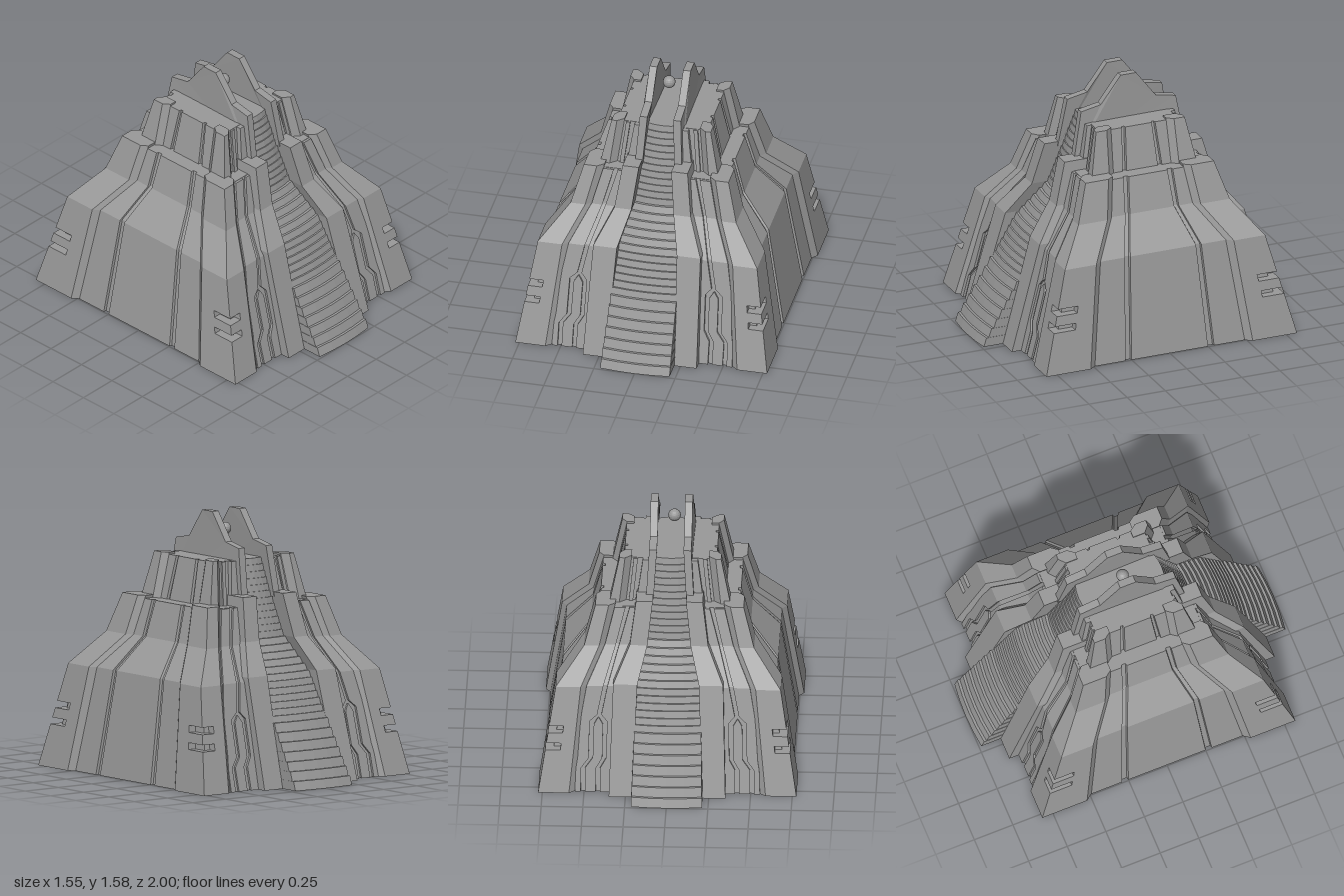
import * as THREE from 'three';

const stone = new THREE.MeshStandardMaterial({ color: 0x999999, flatShading: true });

// Interpolate every column of a table whose first column is the height.
function at(rows, y) {
  let i = 0;
  while (i < rows.length - 2 && y > rows[i + 1][0]) i++;
  const a = rows[i], b = rows[i + 1], t = (y - a[0]) / (b[0] - a[0]);
  return a.map((v, k) => v + (b[k] - v) * t);
}

// Skin stacked rings of [x, y, z] (running from +x to +z) and cap both ends.
function skin(rings) {
  const pos = [], n = rings[0].length;
  const tri = (...p) => p.forEach((q) => pos.push(...q));
  for (let i = 0; i < rings.length - 1; i++) {
    for (let j = 0; j < n; j++) {
      const k = (j + 1) % n;
      const a = rings[i][j], b = rings[i][k], c = rings[i + 1][k], d = rings[i + 1][j];
      tri(a, d, c);
      tri(a, c, b);
    }
  }
  [[rings[0], 1], [rings[rings.length - 1], -1]].forEach(([ring, dir]) => {
    const flat = ring.map((p) => new THREE.Vector2(p[0], p[2]));
    THREE.ShapeUtils.triangulateShape(flat, []).forEach(([a, b, c]) => {
      const area = THREE.ShapeUtils.area([flat[a], flat[b], flat[c]]);
      if (area * dir > 0) tri(ring[a], ring[b], ring[c]);
      else tri(ring[a], ring[c], ring[b]);
    });
  });
  const g = new THREE.BufferGeometry();
  g.setAttribute('position', new THREE.Float32BufferAttribute(pos, 3));
  g.computeVertexNormals();
  return g;
}

function add(group, name, geometry) {
  const mesh = new THREE.Mesh(geometry, stone);
  mesh.name = name;
  group.add(mesh);
  return mesh;
}

// Four copies of a skinned part, one in each quarter of the plan.
function addQuarters(group, name, rings) {
  for (const mx of [1, -1]) for (const mz of [1, -1]) {
    add(group, name, skin(rings.map((ring) => {
      const r = ring.map(([x, y, z]) => [x * mx, y, z * mz]);
      return mx * mz < 0 ? r.reverse() : r;
    })));
  }
}

const RECESS = 0.035, GROOVE = 0.016;

// Plan outline of a tier: raised corner pylons, recessed faces, side grooves, stair slot.
function tierRing([y, X, Z, px, pz, gz, gw, sx], notched) {
  const nx = X - 0.53 * (X - px), nz = Z - 0.55 * (Z - pz), c = notched ? 0.05 : 0;
  const side = X - 0.03;
  const q = [
    [side, gz], [side - GROOVE, gz + 0.004], [side - GROOVE, gz + gw - 0.004], [side, gz + gw],
    [side, pz - 0.04], [X, pz],
    [X, nz], [X - c, nz], [X - c, Z - c], [nx, Z - c], [nx, Z],
    [px, Z], [px - 0.04, Z - RECESS], [sx, Z - RECESS], [sx, Z - RECESS - 0.12],
  ].map(([x, z]) => [x, y, z]);
  const flip = (mx, mz) => q.map(([x, h, z]) => [x * mx, h, z * mz]);
  return [...q, ...flip(-1, 1).reverse(), ...flip(-1, -1), ...flip(1, -1).reverse()];
}

// Block that lifts a corner pylon slightly above the recessed faces.
function pylonTopRing([y, X, Z, px, pz]) {
  return [
    [X - 0.03, pz - 0.04], [X, pz], [X, Z], [px, Z], [px - 0.04, Z - RECESS], [px - 0.04, pz - 0.04],
  ].map(([x, z]) => [x, y, z]);
}

// Mirrored tapering bands, sections [y, x0, x1, zBack, zFront].
const bands = (group, name, sections) => addQuarters(group, name, sections.map(
  ([y, x0, x1, zb, zf]) => [[x1, y, zb], [x1, y, zf], [x0, y, zf], [x0, y, zb]]));

export function createModel() {
  const model = new THREE.Group();
  model.name = 'steppedTemple';

  // Columns: y, half width, half depth, pylon edge x, pylon edge z,
  // side groove z, groove width, stair slot x
  const lower = [
    [0, 0.775, 0.82, 0.59, 0.53, 0.25, 0.04, 0.28],
    [0.63, 0.675, 0.655, 0.525, 0.45, 0.215, 0.035, 0.26],
    [0.83, 0.51, 0.495, 0.42, 0.305, 0.145, 0.03, 0.17],
    [1.065, 0.445, 0.42, 0.365, 0.27, 0.125, 0.035, 0.15],
  ];
  const upper = [
    [1.0, 0.373, 0.352, 0.31, 0.23, 0.105, 0.028, 0.135],
    [1.32, 0.305, 0.29, 0.272, 0.22, 0.085, 0.022, 0.11],
  ];

  // Lower tier, with two slots cut round each corner
  const rings = [tierRing(lower[0], false)];
  for (const [y0, y1] of [[0.255, 0.295], [0.355, 0.397]]) {
    for (const [y, cut] of [[y0, false], [y0, true], [y1, true], [y1, false]]) {
      rings.push(tierRing(at(lower, y), cut));
    }
  }
  rings.push(...[lower[1], lower[2], at(lower, 1.047)].map((row) => tierRing(row, false)));
  add(model, 'lowerTier', skin(rings));
  addQuarters(model, 'lowerPylonTop', [at(lower, 1.047), lower[3]].map(pylonTopRing));

  // Upper tier
  add(model, 'upperTier', skin([upper[0], at(upper, 1.308)].map((row) => tierRing(row, false))));
  addQuarters(model, 'upperPylonTop', [at(upper, 1.308), upper[1]].map(pylonTopRing));

  // Ramparts flanking the stairs
  bands(model, 'rampart', [
    [0, 0.21, 0.35, 0.86], [0.66, 0.185, 0.33, 0.67],
    [0.85, 0.13, 0.235, 0.52], [1.11, 0.1, 0.2, 0.45],
  ].map(([y, a, b, z]) => [y, a, b, z - 0.3, z]));

  // Relief bands on the recessed front and back faces
  const relief = (name, rows, table, height) => bands(model, name, rows.map(([y, a, b]) => {
    const z = at(table, y)[2] - RECESS;
    return [y, a, b, z - 0.03, z + height];
  }));
  relief('innerRelief', [
    [0, 0.33, 0.405], [0.14, 0.33, 0.405], [0.2, 0.32, 0.37], [0.42, 0.32, 0.365], [0.46, 0.32, 0.4],
    [0.63, 0.31, 0.365], [0.83, 0.22, 0.3], [1.045, 0.18, 0.24],
  ], lower, 0.015);
  relief('outerRelief', [
    [0, 0.52, 0.555], [0.14, 0.52, 0.55], [0.2, 0.475, 0.54], [0.42, 0.47, 0.525], [0.46, 0.425, 0.52],
    [0.63, 0.39, 0.49], [0.83, 0.32, 0.385], [1.045, 0.265, 0.33],
  ], lower, 0.015);
  relief('pointedRelief', [
    [0, 0.43, 0.495], [0.14, 0.43, 0.495], [0.2, 0.393, 0.45], [0.4, 0.39, 0.445], [0.44, 0.415, 0.42],
  ], lower, 0.012);
  relief('upperRelief', [[1.03, 0.12, 0.205], [1.306, 0.11, 0.165]], upper, 0.03);
  relief('upperOuterRelief', [[1.03, 0.225, 0.25], [1.306, 0.195, 0.22]], upper, 0.012);

  // Stairs: y, slope line z, half width; risers lean back, leaving narrow treads
  const stair = [
    [0, 1.0, 0.213], [0.39, 0.76, 0.2], [0.63, 0.62, 0.188],
    [0.85, 0.43, 0.132], [1.1, 0.34, 0.103], [1.31, 0.262, 0.09],
  ];
  const heights = [];
  for (let i = 0; i < 7; i++) heights.push(i * 0.055);
  for (let i = 0; i <= 24; i++) heights.push(0.385 + i * 0.925 / 24);
  const stepRing = (y, z, w) => [
    [w, y, 0],
    ...[1, 0.5, 0, -0.5, -1].map((t) => [w * t, y, z - 0.015 * t * t]),
    [-w, y, 0],
  ];
  for (const side of [1, -1]) {
    const flight = new THREE.Group();
    flight.name = side > 0 ? 'frontStairs' : 'backStairs';
    flight.rotation.y = side > 0 ? 0 : Math.PI;
    for (let i = 0; i < heights.length - 1; i++) {
      const [y0, z0, w] = at(stair, heights[i]);
      const [y1, z1] = at(stair, heights[i + 1]);
      add(flight, 'step', skin([stepRing(y0, z0, w), stepRing(y1, z1 + 0.45 * (z0 - z1), w)]));
    }
    model.add(flight);
  }

  // Crest walls either side of the summit, flaring outward toward the foot
  const crest = new THREE.Shape([
    [-0.365, 1.08], [0.365, 1.08], [0.31, 1.385], [0.18, 1.41],
    [0.05, 1.58], [-0.05, 1.58], [-0.18, 1.41], [-0.31, 1.385],
  ].map(([z, y]) => new THREE.Vector2(z, y)));
  for (const side of [1, -1]) {
    const g = new THREE.ExtrudeGeometry(crest, { depth: 0.046, bevelEnabled: false });
    g.rotateY(Math.PI / 2).translate(side > 0 ? 0.08 : -0.126, 0, 0);
    const p = g.attributes.position;
    for (let i = 0; i < p.count; i++) {
      p.setX(i, p.getX(i) + side * 0.06 * Math.max(0, 1.385 - p.getY(i)));
    }
    g.computeVertexNormals();
    add(model, 'crestWall', g);
  }

  // Floating orb between the crest walls
  const orb = add(model, 'orb', new THREE.SphereGeometry(0.038, 16, 10));
  orb.position.set(-0.015, 1.46, 0.01);

  return model;
}
